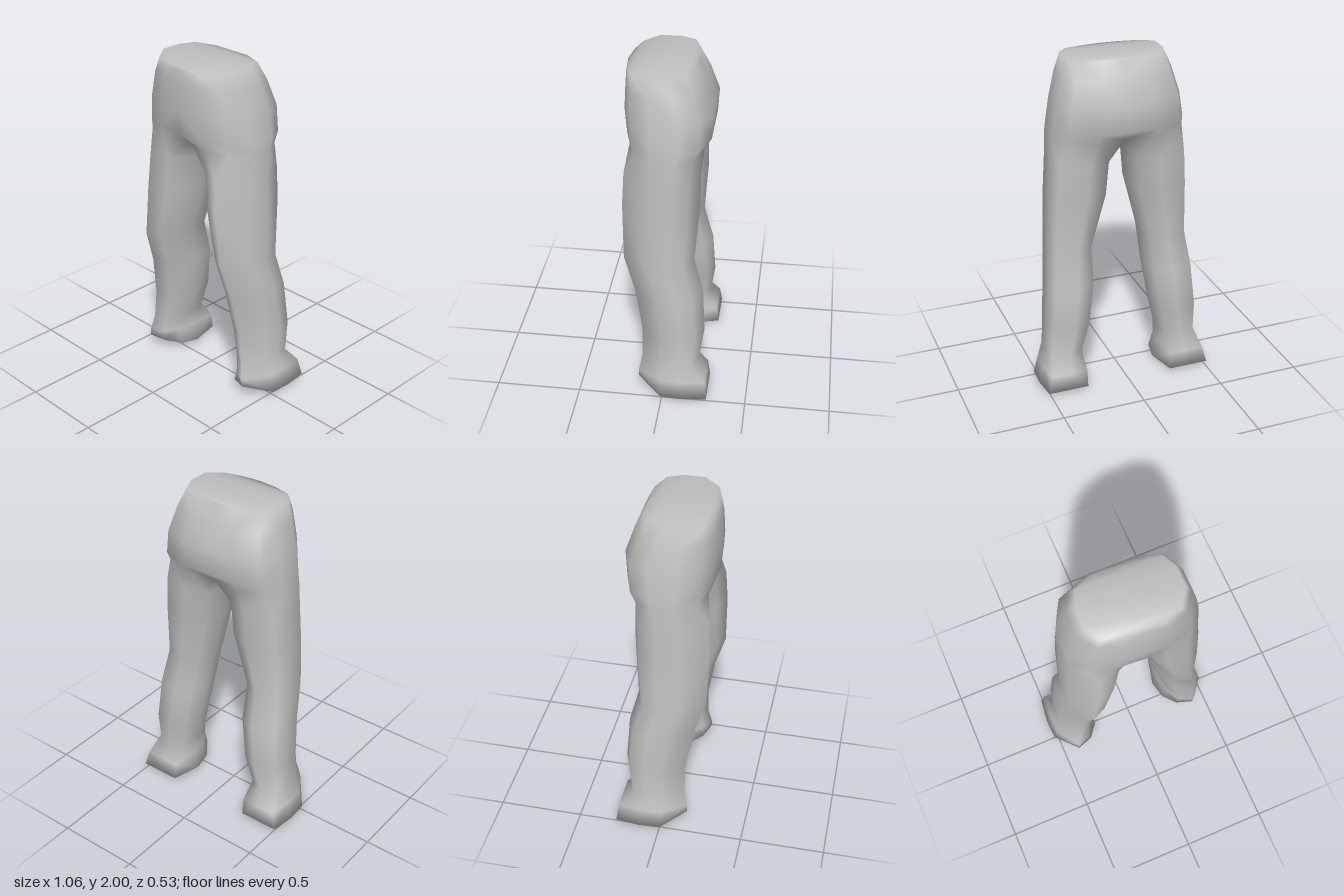
import * as THREE from 'three';
import { mergeVertices } from 'three/addons/utils/BufferGeometryUtils.js';

// Unit outlines [u, v]: u from inside to outside, v from back to front
const hipOutline = [[0, 0], [.44, 0], [.86, .11], [1, .33], [1, .64], [.78, .87], [.42, .96], [0, 1]];
const legOutline = [[.08, .12], [.45, 0], [.94, .12], [1, .35], [.98, .65], [.6, 1], [.28, .91], [.07, .7], [0, .43]];

// Sections: height, inner x, outer x, back z, front z
const hipSections = [
  [2, 0, .285, -.15, .245],
  [1.9, 0, .325, -.2, .257],
  [1.75, 0, .365, -.252, .265],
  [1.6, 0, .39, -.242, .25],
  [1.54, 0, .395, -.205, .235],
];
const legSections = [
  [1.4, .055, .402, -.19, .24],
  [1.2, .075, .412, -.19, .25],
  [.87, .165, .42, -.165, .24],
  [.66, .172, .445, -.22, .175],
  [.4, .21, .467, -.235, .13],
  [.22, .255, .47, -.21, .13],
  [.12, .258, .5, -.255, .15],
  [.02, .222, .53, -.268, .15],
];

const section = (outline, [y, xIn, xOut, zBack, zFront]) =>
  outline.map(([u, v]) => new THREE.Vector3(xIn + (xOut - xIn) * u, y, zBack + (zFront - zBack) * v));

function trousersGeometry() {
  const points = [], faces = [];
  const addRing = (ring) => ring.map((p) => points.push(p) - 1);
  const band = (upper, lower, closed) => {
    const n = upper.length;
    for (let k = 0; k < (closed ? n : n - 1); k++) {
      const j = (k + 1) % n;
      faces.push([upper[k], upper[j], lower[k]], [upper[j], lower[j], lower[k]]);
    }
  };

  // Hips: the waist dips in front, the lowest ring is drawn in at the middle
  const hipRings = hipSections.map((s) => section(hipOutline, s));
  hipRings[0].forEach((p) => { p.y -= Math.max(0, p.z - .1) * .17; });
  const lowest = hipRings.at(-1);
  lowest[0].z = -.18;
  lowest.at(-1).z = .17;
  const hips = hipRings.map(addRing);
  for (let i = 1; i < hips.length; i++) band(hips[i - 1], hips[i], false);

  // Leg, starting from the lowest hip ring closed through the crotch
  const legRings = legSections.map((s) => section(legOutline, s));
  // Foot: square heel, raised toe
  legRings.slice(-2).forEach((ring) => {
    ring[0].z = ring[2].z = ring[1].z;
    ring[0].x = .267;
  });
  legRings.at(-1).forEach((p) => { p.y += Math.max(0, p.z) * .37; });
  let upper = [...hips.at(-1), points.push(new THREE.Vector3(0, 1.5, 0)) - 1];
  for (const ring of legRings) {
    const lower = addRing(ring);
    band(upper, lower, true);
    upper = lower;
  }

  // Sole
  const sole = points.push(new THREE.Vector3(.34, 0, -.06)) - 1;
  upper.forEach((p, k) => faces.push([sole, p, upper[(k + 1) % upper.length]]));

  // Mirror to the other side
  const n = points.length;
  const index = faces.flatMap(([a, b, c]) => [a, b, c, a + n, c + n, b + n]);

  // Waist cap, spanning from side to side
  const waist = hips[0], last = waist.length - 2;
  for (let k = 0; k <= last; k++) {
    const a = waist[k], b = waist[k + 1];
    if (k > 0) index.push(a, a + n, b);
    if (k < last) index.push(b, a + n, b + n);
  }

  const all = [...points, ...points.map((p) => new THREE.Vector3(-p.x, p.y, p.z))];
  const geometry = new THREE.BufferGeometry().setFromPoints(all).setIndex(index);
  const merged = mergeVertices(geometry, 1e-4);
  merged.computeVertexNormals();
  return merged;
}

export function createModel() {
  const group = new THREE.Group();
  group.name = 'trousers';
  const grey = new THREE.MeshStandardMaterial({ color: 0xc0c0c0 });
  grey.name = 'grey cloth';
  const mesh = new THREE.Mesh(trousersGeometry(), grey);
  mesh.name = 'hipsAndLegs';
  group.add(mesh);
  return group;
}
